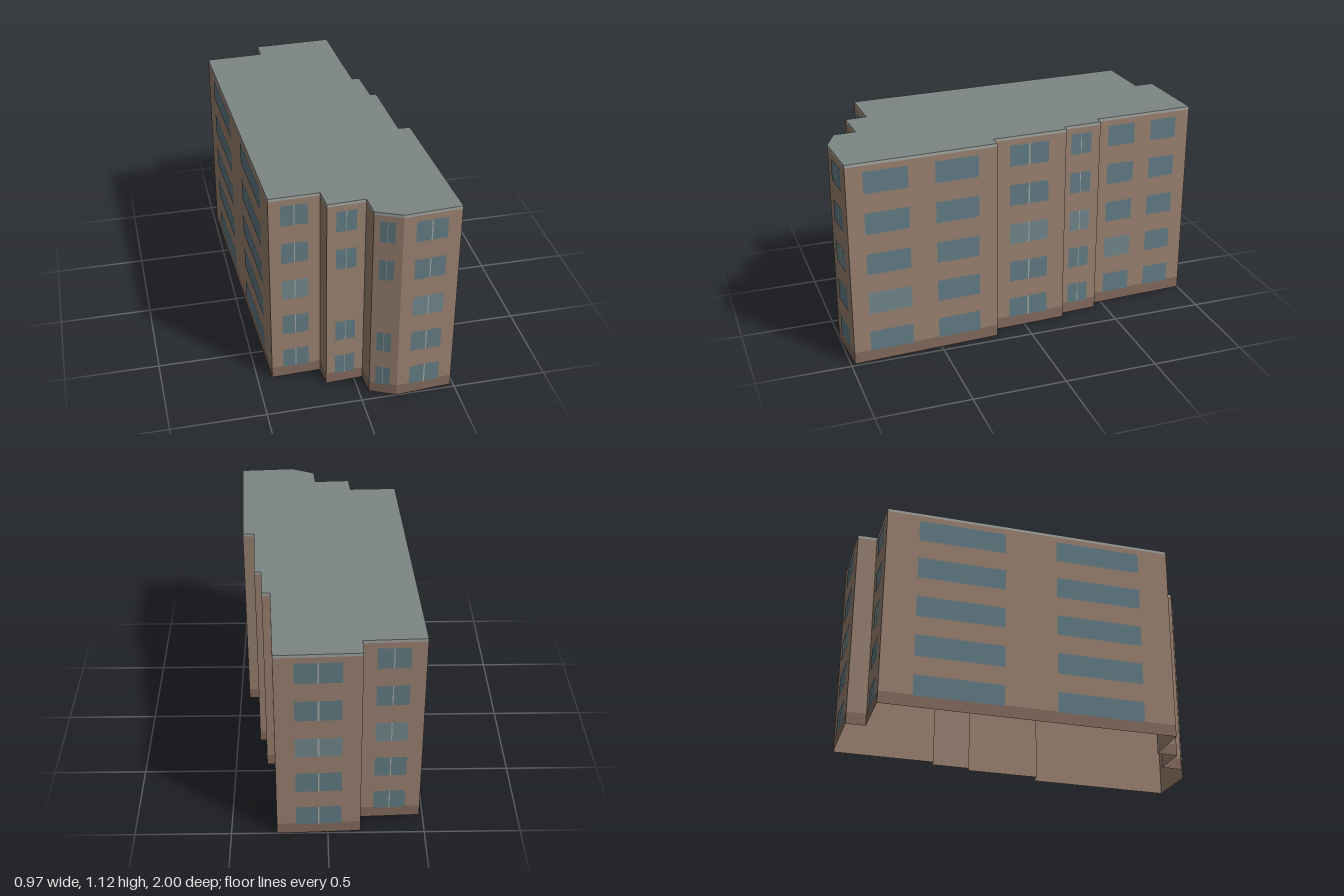
import * as THREE from 'three';

const HEIGHT = 1.118, FASCIA = 1.102, PLINTH = 0.065;

// Footprint corners [x, z], running back -> right -> front -> left
const OUTLINE = [
  [-0.483, -0.868], [-0.167, -0.88], [-0.168, -0.985], [0.263, -1], [0.286, -0.443], [0.328, -0.443],
  [0.338, -0.23], [0.372, -0.23], [0.386, 0.178], [0.449, 0.18], [0.483, 0.978], [0.185, 0.998],
  [0.053, 0.937], [0.046, 0.82], [-0.152, 0.83], [-0.16, 0.715], [-0.421, 0.722],
];

// Bottom and top of the window row on each storey
const ROWS = [[0.06, 0.175], [0.279, 0.398], [0.504, 0.62], [0.729, 0.847], [0.952, 1.07]];

// Window columns: wall index, axis (0 = x, 1 = z), extent along it, mullion, skipped row, paler row
const COLUMNS = [
  { wall: 0, axis: 0, from: -0.404, to: -0.24, mullion: true, pale: 2 },
  { wall: 2, axis: 0, from: -0.07, to: 0.164, mullion: true, pale: 2 },
  { wall: 3, axis: 1, from: -0.92, to: -0.767 },
  { wall: 3, axis: 1, from: -0.669, to: -0.511, pale: 1 },
  { wall: 5, axis: 1, from: -0.391, to: -0.273, mullion: true, pale: 2 },
  { wall: 7, axis: 1, from: -0.131, to: 0.088, mullion: true, pale: 2 },
  { wall: 9, axis: 1, from: 0.281, to: 0.514 },
  { wall: 9, axis: 1, from: 0.656, to: 0.889, pale: 1 },
  { wall: 10, axis: 0, from: 0.25, to: 0.412, mullion: true, pale: 2 },
  { wall: 11, axis: 0, from: 0.082, to: 0.15, mullion: true, skip: 2 },
  { wall: 13, axis: 0, from: -0.105, to: 0, mullion: true, skip: 2 },
  { wall: 15, axis: 0, from: -0.36, to: -0.222, mullion: true, pale: 2 },
  { wall: 16, axis: 1, from: 0.07, to: 0.547 },
  { wall: 16, axis: 1, from: -0.693, to: -0.216 },
];

const paint = (color, side = THREE.FrontSide) =>
  new THREE.MeshStandardMaterial({ color, side, roughness: 0.9 });

// Upright rectangle on a wall, between fractions t0..t1 of its length
function panel(name, wall, t0, t1, y0, y1, offset, material) {
  const a = OUTLINE[wall], b = OUTLINE[(wall + 1) % OUTLINE.length];
  const dx = b[0] - a[0], dz = b[1] - a[1], len = Math.hypot(dx, dz);
  const nx = dz / len, nz = -dx / len, t = (t0 + t1) / 2;
  const mesh = new THREE.Mesh(new THREE.PlaneGeometry(len * Math.abs(t1 - t0), y1 - y0), material);
  mesh.position.set(a[0] + dx * t + nx * offset, (y0 + y1) / 2, a[1] + dz * t + nz * offset);
  mesh.rotation.y = Math.atan2(nx, nz);
  mesh.name = name;
  return mesh;
}

function namedGroup(name, parent) {
  const g = new THREE.Group();
  g.name = name;
  parent.add(g);
  return g;
}

export function createModel() {
  const building = new THREE.Group();
  building.name = 'apartmentBlock';
  const brick = paint(0x9a8272, THREE.DoubleSide);
  const plinthPaint = paint(0x846b5e);
  const fasciaPaint = paint(0xa3a6a2, THREE.DoubleSide);
  const roofPaint = paint(0x7d8683, THREE.DoubleSide);
  const glass = paint(0x627c84), paleGlass = paint(0x71878b), frame = paint(0xa5aaa6);

  // Hollow shell: brick walls, darker plinth band and pale roof edge
  const walls = namedGroup('walls', building);
  const plinth = namedGroup('plinth', building);
  const fascia = namedGroup('fascia', building);
  OUTLINE.forEach((_, i) => {
    walls.add(panel('wall', i, 0, 1, 0, FASCIA, 0, brick));
    plinth.add(panel('plinthBand', i, 0, 1, 0, PLINTH, 0.001, plinthPaint));
    fascia.add(panel('fasciaBand', i, 0, 1, FASCIA, HEIGHT, 0, fasciaPaint));
  });

  // Flat roof
  const shape = new THREE.Shape(OUTLINE.map(([x, z]) => new THREE.Vector2(x, -z)));
  const roof = new THREE.Mesh(new THREE.ShapeGeometry(shape).rotateX(-Math.PI / 2), roofPaint);
  roof.position.y = HEIGHT;
  roof.name = 'roof';
  building.add(roof);

  // Windows, with a centre mullion on the paired ones
  const windows = namedGroup('windows', building);
  for (const { wall, axis, from, to, mullion, skip, pale } of COLUMNS) {
    const a = OUTLINE[wall][axis], b = OUTLINE[(wall + 1) % OUTLINE.length][axis];
    const t0 = (from - a) / (b - a), t1 = (to - a) / (b - a);
    const mid = (t0 + t1) / 2, half = Math.abs(t1 - t0) * 0.018;
    ROWS.forEach(([y0, y1], row) => {
      if (row === skip) return;
      windows.add(panel('window', wall, t0, t1, y0, y1, 0.002, row === pale ? paleGlass : glass));
      if (mullion) windows.add(panel('mullion', wall, mid - half, mid + half, y0, y1, 0.003, frame));
    });
  }
  return building;
}
